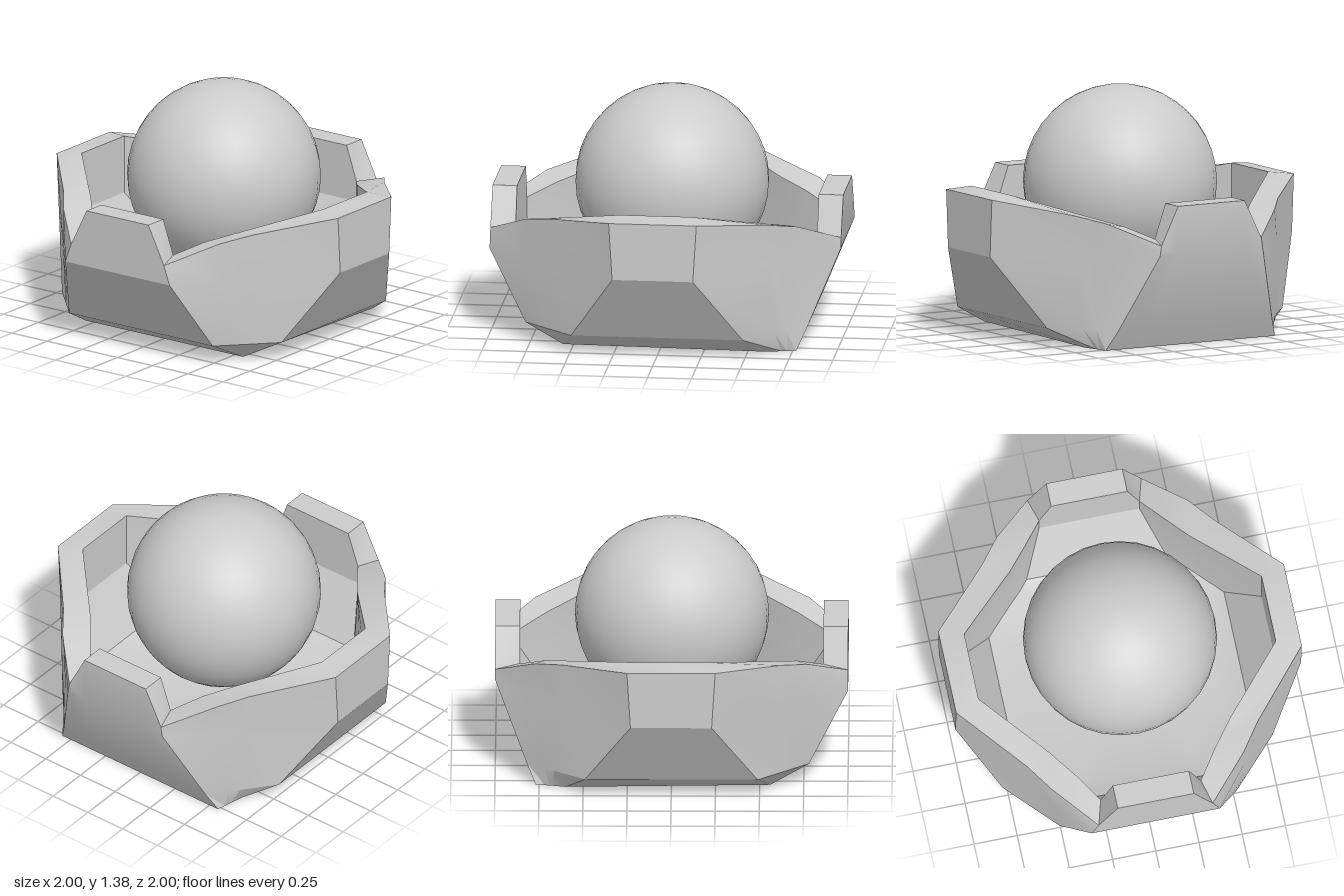
import * as THREE from 'three';
import { toCreasedNormals } from 'three/addons/utils/BufferGeometryUtils.js';

const lerp = (a, b, t) => a.map((v, i) => v + (b[i] - v) * t);

// Columns for one quarter of the bowl, from the end tab round to the side tab.
// Each column runs from the floor up the inside, over the rim and down the outside.
function quarter(back) {
  // outside below the rim: mid, low, bottom
  const end = back
    ? [[0.34, 0.55, 1], [0.51, 0.11, 0.82], [0.56, 0, 0.77]]
    : [[0.37, 0.5, 1], [0.51, 0.11, 0.78], [0.56, 0, 0.56]];
  const side = [[1, 0.5, 0.23], [0.78, 0.11, 0.49], back ? [0.6, 0, 0.6] : [0.56, 0, 0.56]];
  const tab = end.map(([x, y, z]) => [x * 0.66, y, z]);
  const between = (t) => end.map((p, i) => lerp(p, side[i], t));

  // floor edge, inner crease, inner rim, outer rim, then outside
  const columns = [
    [[0.27, 0.2, 0.68], [0.2, 0.51, 0.86], [0.22, 0.83, 0.86], [0.22, 0.83, 1], ...tab],
    [[0.4, 0.2, 0.68], [0.29, 0.51, 0.86], [0.29, 0.63, 0.86], [0.33, 0.61, 1], ...end],
    [[0.45, 0.2, 0.62], [0.4, 0.51, 0.71], [0.4, 0.69, 0.71], [0.555, 0.725, 0.775], ...between(0.3)],
    [[0.53, 0.2, 0.54], [0.53, 0.51, 0.56], [0.52, 0.73, 0.56], [0.67, 0.76, 0.62], ...between(0.48)],
    [[0.68, 0.2, 0.38], [0.86, 0.51, 0.2], [0.86, 0.845, 0.2], [1, 0.83, 0.25], ...side],
  ];
  return columns.map((c) => [
    [0, 0.14, 0],
    [c[0][0] * 0.75, 0.14, c[0][2] * 0.75],
    ...c,
    [0, 0, 0],
  ]);
}

function bowlGeometry() {
  // mirror the quarters into a full ring of columns
  const columns = [];
  for (const [sx, sz] of [[1, 1], [1, -1], [-1, -1], [-1, 1]]) {
    const q = quarter(sz < 0).map((c) => c.map(([x, y, z]) => new THREE.Vector3(x * sx, y, z * sz)));
    if (sx * sz < 0) q.reverse();
    columns.push(...q);
  }

  const positions = [];
  const triangle = (a, b, c) => {
    const area = b.clone().sub(a).cross(c.clone().sub(a)).length();
    if (area > 1e-6) for (const p of [a, b, c]) positions.push(p.x, p.y, p.z);
  };
  columns.forEach((col, i) => {
    const next = columns[(i + 1) % columns.length];
    for (let j = 0; j < col.length - 1; j++) {
      triangle(col[j], col[j + 1], next[j + 1]);
      triangle(col[j], next[j + 1], next[j]);
    }
  });

  const geometry = new THREE.BufferGeometry();
  geometry.setAttribute('position', new THREE.Float32BufferAttribute(positions, 3));
  return toCreasedNormals(geometry, 0.45);
}

export function createModel() {
  const group = new THREE.Group();
  const material = new THREE.MeshStandardMaterial({ color: 0xcccccc });

  // faceted bowl with four raised tabs
  const bowl = new THREE.Mesh(bowlGeometry(), material);
  bowl.name = 'bowl';
  group.add(bowl);

  // ball resting inside
  const ball = new THREE.Mesh(new THREE.SphereGeometry(0.55, 32, 20), material);
  ball.name = 'ball';
  ball.position.y = 0.835;
  group.add(ball);

  return group;
}
